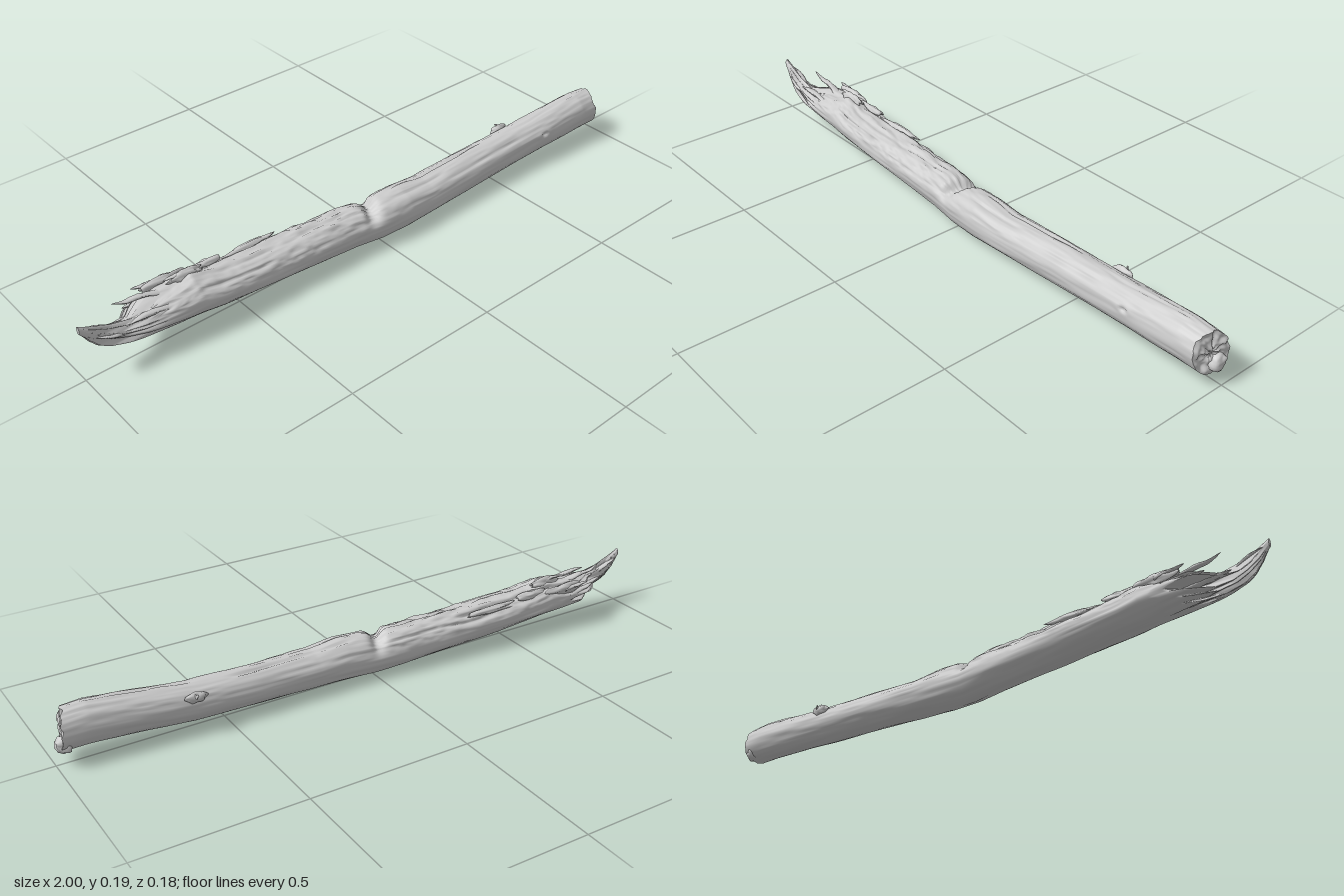
import * as THREE from 'three';

const { lerp, clamp, smoothstep } = THREE.MathUtils;
const TAU = Math.PI * 2;
const wood = new THREE.MeshStandardMaterial({ color: 0xcccccc, side: THREE.DoubleSide });

// Smooth repeatable 3D value noise, -1..1
function hash(x, y, z) {
  let h = Math.imul(x, 374761393) ^ Math.imul(y, 668265263) ^ Math.imul(z, 1274126177);
  h = Math.imul(h ^ (h >>> 13), 1103515245);
  return ((h ^ (h >>> 16)) >>> 0) / 2147483648 - 1;
}
function noise(x, y, z) {
  const ix = Math.floor(x), iy = Math.floor(y), iz = Math.floor(z);
  const s = (t) => t * t * (3 - 2 * t);
  const u = s(x - ix), v = s(y - iy), w = s(z - iz);
  const row = (j, k) => lerp(hash(ix, iy + j, iz + k), hash(ix + 1, iy + j, iz + k), u);
  return lerp(lerp(row(0, 0), row(1, 0), v), lerp(row(0, 1), row(1, 1), v), w);
}

// Skin a grid of rings; fn(t, angle) returns [x, y, z]
function loft(rows, cols, fn) {
  const pos = [], index = [];
  for (let i = 0; i <= rows; i++)
    for (let j = 0; j < cols; j++) pos.push(...fn(i / rows, (j / cols) * TAU));
  for (let i = 0; i < rows; i++)
    for (let j = 0; j < cols; j++) {
      const a = i * cols + j, b = i * cols + ((j + 1) % cols), c = a + cols, d = b + cols;
      index.push(a, c, b, b, c, d);
    }
  const g = new THREE.BufferGeometry();
  g.setAttribute('position', new THREE.Float32BufferAttribute(pos, 3));
  g.setIndex(index);
  g.computeVertexNormals();
  return g;
}

// Trunk sections: x, bottom, top, back z, front z
const sections = [
  [-1.0, 0.165, 0.19, -0.002, 0.012],
  [-0.97, 0.128, 0.173, -0.008, 0.018],
  [-0.93, 0.104, 0.15, -0.012, 0.022],
  [-0.88, 0.086, 0.135, -0.015, 0.03],
  [-0.83, 0.074, 0.137, -0.028, 0.042],
  [-0.8, 0.066, 0.142, -0.06, 0.047],
  [-0.77, 0.06, 0.147, -0.084, 0.05],
  [-0.7, 0.052, 0.155, -0.088, 0.056],
  [-0.65, 0.048, 0.165, -0.088, 0.06],
  [-0.58, 0.043, 0.15, -0.086, 0.064],
  [-0.45, 0.033, 0.143, -0.082, 0.066],
  [-0.3, 0.021, 0.14, -0.076, 0.066],
  [-0.1, 0.008, 0.135, -0.068, 0.068],
  [0.0, 0.003, 0.132, -0.058, 0.08],
  [0.1, 0.005, 0.137, -0.055, 0.085],
  [0.2, 0.011, 0.127, -0.054, 0.082],
  [0.4, 0.015, 0.131, -0.056, 0.072],
  [0.6, 0.021, 0.138, -0.053, 0.067],
  [0.72, 0.03, 0.148, -0.047, 0.071],
  [0.8, 0.034, 0.156, -0.043, 0.075],
  [0.9, 0.038, 0.165, -0.038, 0.077],
  [0.97, 0.036, 0.161, -0.036, 0.075],
];
function sectionAt(x) {
  let i = 0;
  while (i < sections.length - 2 && sections[i + 1][0] < x) i++;
  const a = sections[i], b = sections[i + 1], t = clamp((x - a[0]) / (b[0] - a[0]), 0, 1);
  return a.map((v, k) => lerp(v, b[k], t));
}

// Long cracks: angle, from x, to x, depth
const cracks = [
  [0.75, -0.68, -0.38, 0.16], [1.35, -0.6, -0.1, 0.14], [2.1, -0.75, -0.25, 0.16],
  [1.1, -0.35, -0.04, 0.1], [2.5, -0.45, 0.0, 0.12], [1.2, 0.03, 0.3, 0.1],
  [1.9, 0.05, 0.5, 0.1], [0.8, 0.25, 0.62, 0.06], [1.5, 0.6, 0.85, 0.06],
];

// Surface of the trunk at x and angle (0 = front, quarter turn = top)
function bark(x, a) {
  const [, y0, y1, z0, z1] = sectionAt(x);
  const c = Math.cos(a), s = Math.sin(a);
  const upper = smoothstep(s, -0.1, 0.6);
  const decay = upper * (1 - smoothstep(x, -0.1, 0.15));
  let r = 1 + 0.035 * noise(x * 5, c * 3, s * 3) + 0.02 * noise(x * 9, c * 9 + 7, s * 9);
  r += upper * 0.03 * noise(x * 16, c * 10, s * 10 + 5);
  r += decay * (0.06 * noise(x * 22, c * 7 + 3, s * 7) + 0.03 * noise(x * 50, c * 16, s * 16));
  for (const [ca, xa, xb, depth] of cracks) {
    const off = (a - ca - 0.12 * noise(x * 9, ca * 10, 0)) / 0.07;
    const along = smoothstep(x, xa, xa + 0.06) * (1 - smoothstep(x, xb - 0.06, xb));
    r -= depth * along * Math.exp(-off * off);
  }
  // notch across the top near the middle
  const nx = (x + 0.022 + 0.02 * c) / 0.022;
  r -= 0.4 * smoothstep(s, 0.0, 0.95) * Math.exp(-nx * nx);
  // knot hollow on the front
  const kx = (x - 0.71) / 0.016, ka = (a - 0.3) / 0.14, k = kx * kx + ka * ka;
  r += 0.09 * Math.exp(-k * 0.4) - 0.22 * Math.exp(-k * 1.6);
  // jagged break on the left, slanted saw-cut on the right
  const jag = smoothstep(-x, 0.62, 0.8) * (1 - smoothstep(-x, 0.87, 1));
  const end = smoothstep(x, 0.85, 0.97);
  const dx = 0.05 * jag * noise(c * 6, s * 6, 4) + end * (-0.014 * c - 0.008 * s + 0.006 * noise(c * 4, s * 4, 9));
  return [x + dx, (y0 + y1) / 2 + (r * s * (y1 - y0)) / 2, (z0 + z1) / 2 + (r * c * (z1 - z0)) / 2];
}

// Tapered splinter along a path of [x, y, z] points
function splinter(name, points, radius, flat = 0.5) {
  const curve = new THREE.CatmullRomCurve3(points.map((p) => new THREE.Vector3(...p)));
  const geo = loft(16, 10, (t, a) => {
    const p = curve.getPoint(t);
    const r = radius * (1 - t) ** 0.6 * (1 + 0.35 * noise(t * 6, Math.cos(a) * 2 + points[0][0] * 40, Math.sin(a) * 2));
    return [p.x, p.y + r * flat * Math.sin(a), p.z - r * Math.cos(a)];
  });
  return part(name, geo);
}

function part(name, geometry) {
  const mesh = new THREE.Mesh(geometry, wood);
  mesh.name = name;
  return mesh;
}

// Lumpy ellipsoid for knots and torn chunks
function lump(name, [x, y, z], [sx, sy, sz], rough = 0.3) {
  const g = loft(14, 20, (t, a) => {
    const u = Math.cos(t * Math.PI), v = Math.sin(t * Math.PI);
    const c = v * Math.cos(a), s = v * Math.sin(a);
    const r = 1 + rough * noise(u * 2 + x * 30, s * 2, c * 2);
    return [x - sx * u * r, y + sy * s * r, z + sz * c * r];
  });
  return part(name, g);
}

export function createModel() {
  const log = new THREE.Group();
  log.name = 'brokenLog';

  log.add(part('trunk', loft(320, 84, (t, a) => bark(lerp(-1, 0.97, t), a))));

  // Pitted end faces, closing in from the trunk's rim
  const endFace = (x, flip) => loft(20, 84, (t, a) => {
    const ang = flip ? -a : a, k = 1 - t;
    const p = bark(x, ang), q = bark(x, ang + Math.PI);
    const [, y0, y1, z0, z1] = sectionAt(x);
    const y = lerp((y0 + y1) / 2, p[1], k), z = lerp((z0 + z1) / 2, p[2], k);
    const pit = Math.min(1, t * 5) * (0.007 * noise(0, y * 45, z * 45) + 0.004 * noise(3, y * 90, z * 90));
    return [lerp((p[0] + q[0]) / 2, p[0], k) + (flip ? 0 : pit), y, z];
  });
  log.add(part('cutEnd', endFace(0.97, false)), part('tipEnd', endFace(-1, true)));

  // Torn lip low on the cut end
  log.add(lump('endLip', [0.974, 0.064, -0.002], [0.024, 0.024, 0.028]));

  // Side twig and its base on the back
  log.add(lump('twigBase', [0.6, 0.115, -0.047], [0.03, 0.016, 0.012]));
  log.add(splinter('twigStub', [[0.61, 0.115, -0.045], [0.606, 0.122, -0.056], [0.6, 0.128, -0.064]], 0.009, 1));

  // Torn ridge on the upper back of the decayed half
  for (const [x, y, z, sx, sy, sz] of [
    [-0.65, 0.158, -0.03, 0.05, 0.018, 0.014],
    [-0.7, 0.14, -0.07, 0.06, 0.018, 0.013],
    [-0.58, 0.142, -0.055, 0.05, 0.013, 0.014],
    [-0.42, 0.13, -0.055, 0.09, 0.01, 0.012],
  ]) log.add(lump('tornRidge', [x, y, z], [sx, sy, sz], 0.45));

  // Splinters around the break
  const splinters = [
    [[[-0.74, 0.145, -0.03], [-0.8, 0.158, -0.036], [-0.84, 0.16, -0.036], [-0.88, 0.176, -0.034]], 0.013],
    [[[-0.7, 0.14, -0.072], [-0.75, 0.145, -0.08], [-0.795, 0.15, -0.084]], 0.014],
    [[[-0.72, 0.115, -0.07], [-0.79, 0.118, -0.066], [-0.84, 0.125, -0.058]], 0.016],
    [[[-0.62, 0.155, -0.025], [-0.67, 0.17, -0.03], [-0.72, 0.168, -0.035]], 0.014],
    [[[-0.76, 0.1, -0.03], [-0.84, 0.11, -0.03], [-0.9, 0.12, -0.024]], 0.018],
    [[[-0.74, 0.13, 0.02], [-0.82, 0.142, 0.026], [-0.87, 0.14, 0.03]], 0.014],
    [[[-0.86, 0.11, 0.01], [-0.92, 0.125, 0.022], [-0.96, 0.14, 0.02]], 0.014],
    [[[-0.9, 0.13, 0.0], [-0.95, 0.152, -0.008], [-0.985, 0.165, -0.006]], 0.012],
  ];
  for (const [points, radius] of splinters) log.add(splinter('splinter', points, radius));

  return log;
}
